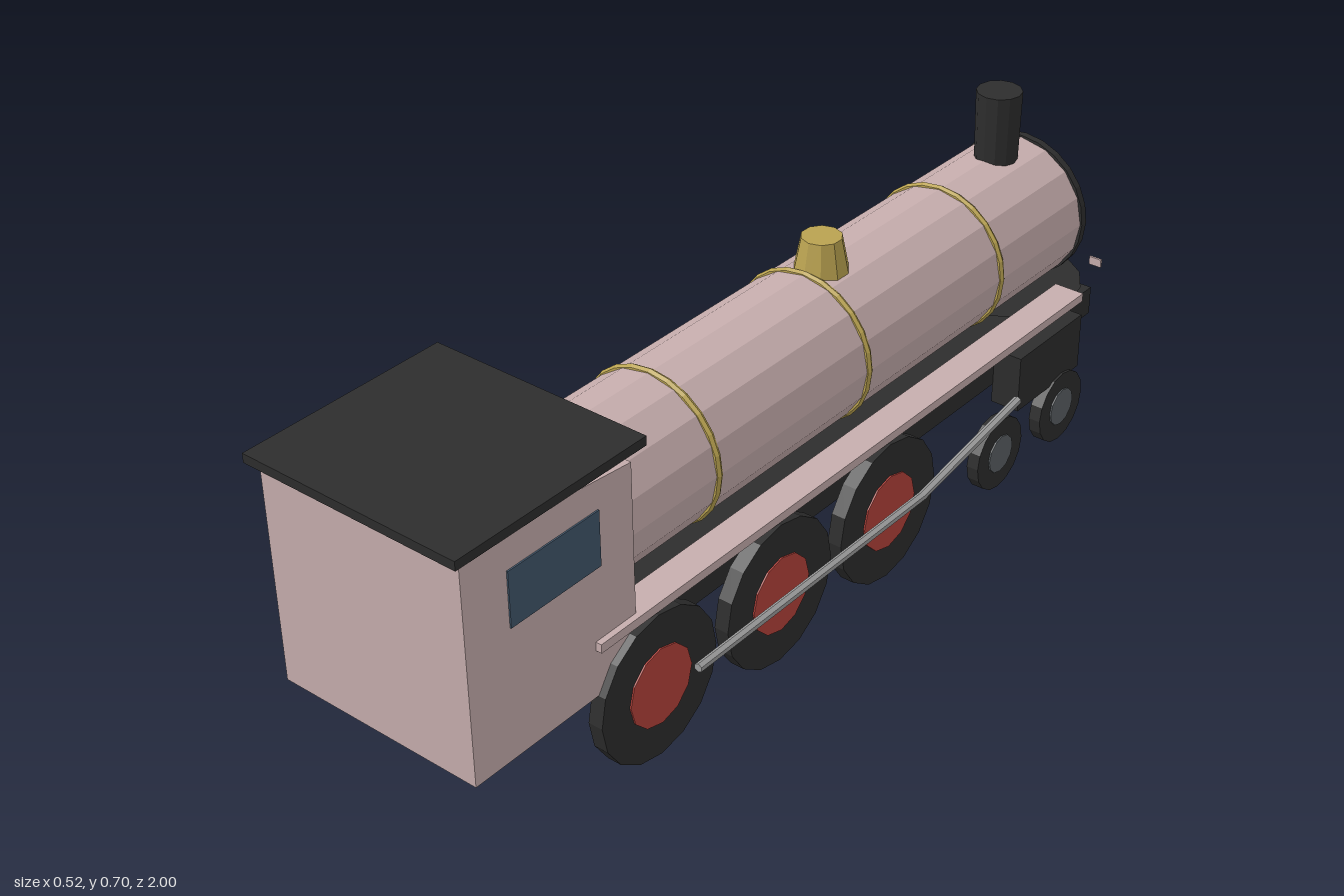
import * as THREE from 'three';

const mat = (name, color, extra = {}) => {
  const m = new THREE.MeshStandardMaterial({ color, flatShading: true, ...extra });
  m.name = name;
  return m;
};

export function createModel() {
  const body = mat('dusty pink', 0xc6adad);
  const black = mat('black iron', 0x2d2d2d);
  const plate = mat('black plate', 0x2d2d2d, { side: THREE.DoubleSide });
  const red = mat('hub red', 0xb5423b);
  const brass = mat('brass', 0xb9a250);
  const glass = mat('window blue', 0x41566a);
  const steel = mat('rod steel', 0x9c9c9c);
  const grey = mat('hub grey', 0x5b6064);

  const model = new THREE.Group();
  model.name = 'steamLocomotive';

  const add = (name, geo, material, x = 0, y = 0, z = 0) => {
    const m = new THREE.Mesh(geo, material);
    m.name = name;
    m.position.set(x, y, z);
    model.add(m);
    return m;
  };
  // box from its min and max corners
  const box = (name, material, [x0, x1], [y0, y1], [z0, z1]) =>
    add(name, new THREE.BoxGeometry(x1 - x0, y1 - y0, z1 - z0), material,
      (x0 + x1) / 2, (y0 + y1) / 2, (z0 + z1) / 2);
  // cylinders lying along z and along x
  const alongZ = (r, len, seg) => new THREE.CylinderGeometry(r, r, len, seg).rotateX(Math.PI / 2);
  const alongX = (r, len, seg) => new THREE.CylinderGeometry(r, r, len, seg).rotateZ(Math.PI / 2);

  // chassis and flat smokebox saddle
  box('frame', black, [-0.163, 0.163], [0.186, 0.248], [-0.928, 0.93]);
  add('saddlePlate', new THREE.CircleGeometry(0.17, 16).rotateX(-Math.PI / 2), plate, 0, 0.26, -0.83);

  // boiler, smokebox front and brass bands
  const by = 0.412;
  add('boiler', alongZ(0.153, 1.475, 16), body, 0, by, -0.1425);
  add('smokeboxFront', alongZ(0.157, 0.016, 24), black, 0, by, -0.888);
  for (const z of [0.29, -0.15, -0.59]) {
    add('boilerBand', new THREE.TorusGeometry(0.151, 0.008, 6, 24), brass, 0, by, z);
  }
  add('steamDome', new THREE.CylinderGeometry(0.04, 0.056, 0.08, 10), brass, 0, 0.585, -0.2);
  add('chimney', new THREE.CylinderGeometry(0.047, 0.044, 0.155, 12), black, 0, 0.628, -0.785);

  // cab with a top that falls toward the boiler
  const side = new THREE.Shape([
    [0.59, 0.21], [0.98, 0.21], [0.98, 0.652], [0.8, 0.645], [0.59, 0.624],
  ].map(([z, y]) => new THREE.Vector2(z, y)));
  const cabGeo = new THREE.ExtrudeGeometry(side, { depth: 0.436, bevelEnabled: false });
  add('cab', cabGeo.rotateY(-Math.PI / 2), body, 0.218);
  box('cabRoof', black, [-0.232, 0.232], [0.65, 0.668], [0.567, 1]);
  box('cabFrontWindow', glass, [-0.17, 0.17], [0.475, 0.568], [0.586, 0.591]);

  for (const s of [-1, 1]) {
    const mirror = (a, b) => (s > 0 ? [a, b] : [-b, -a]);
    box('cabSideWindow', glass, mirror(0.216, 0.221), [0.468, 0.577], [0.672, 0.882]);
    box('runningBoard', body, mirror(0.165, 0.23), [0.305, 0.323], [-0.78, 0.69]);
    box('cylinderBlock', black, mirror(0.162, 0.225), [0.145, 0.267], [-0.79, -0.565]);
    box('buffer', body, mirror(0.124, 0.152), [0.268, 0.286], [-0.985, -0.98]);

    // driving wheels and small leading wheels, hubs on the outer face
    for (const z of [0.55, 0.218, -0.112]) {
      add('drivingWheel', alongX(0.15, 0.03, 16), black, s * 0.218, 0.152, z);
      add('drivingHub', alongX(0.08, 0.01, 12), red, s * 0.231, 0.152, z);
    }
    for (const z of [-0.5, -0.725]) {
      add('leadingWheel', alongX(0.079, 0.026, 16), black, s * 0.217, 0.08, z);
      add('leadingHub', alongX(0.041, 0.01, 12), grey, s * 0.228, 0.08, z);
    }

    // coupling rod and the rod rising to the cylinder
    const rod = (name, [y0, z0], [y1, z1]) => {
      const len = Math.hypot(y1 - y0, z1 - z0);
      const m = add(name, new THREE.CylinderGeometry(0.009, 0.009, len, 6), steel,
        s * 0.254, (y0 + y1) / 2, (z0 + z1) / 2);
      m.rotation.x = Math.atan2(z1 - z0, y1 - y0);
    };
    rod('couplingRod', [0.153, 0.475], [0.153, -0.2]);
    rod('mainRod', [0.153, -0.19], [0.209, -0.515]);
  }
  return model;
}
